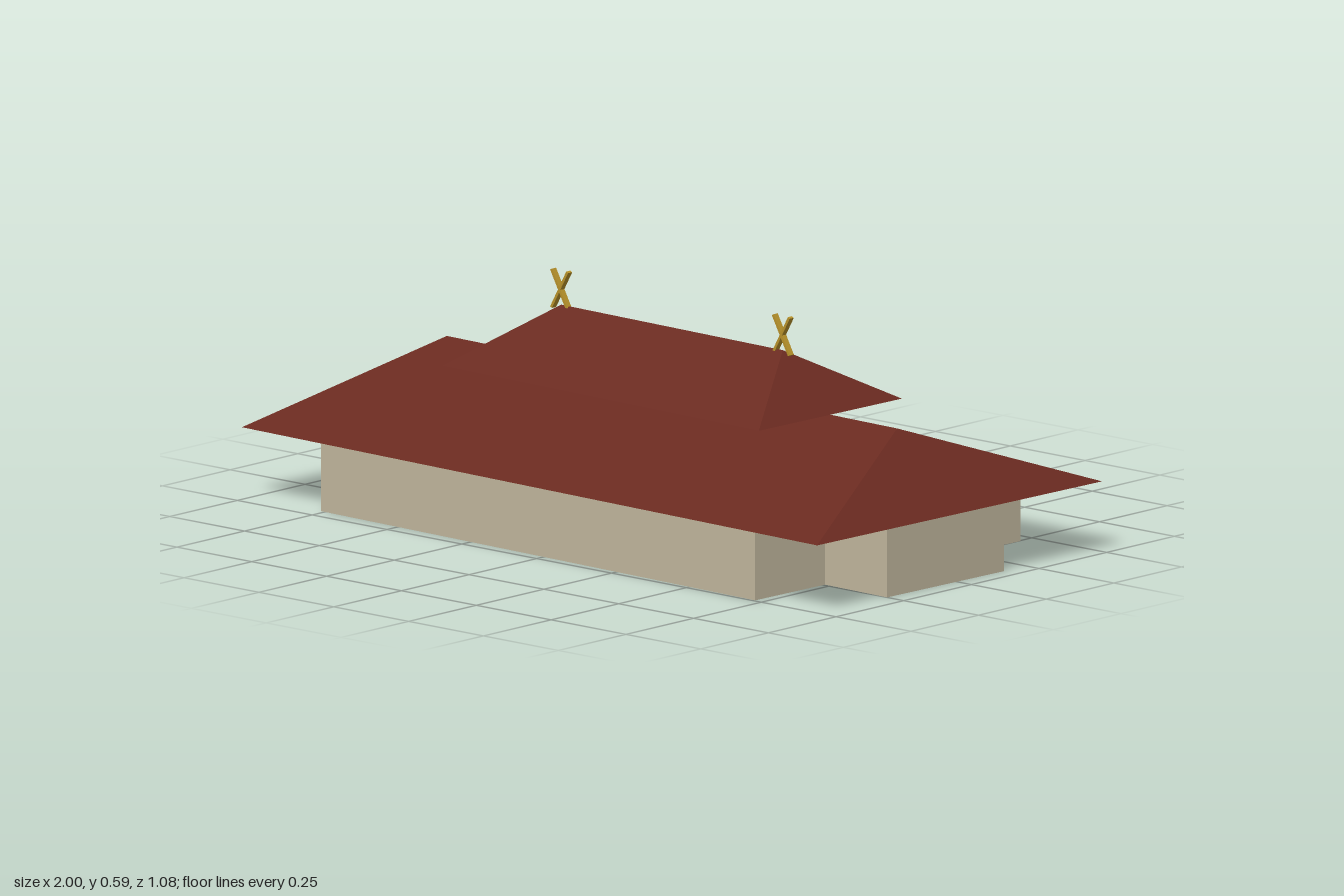
import * as THREE from 'three';

const roofMat = new THREE.MeshStandardMaterial({ name: 'roof red', color: 0x6a2a20, side: THREE.DoubleSide });
const wallMat = new THREE.MeshStandardMaterial({ name: 'wall beige', color: 0xc0b69c, side: THREE.DoubleSide });
const goldMat = new THREE.MeshStandardMaterial({ name: 'finial gold', color: 0xb8922a });

const EAVE = 0.183; // wall top and lower eave height

// Flat-shaded surface from polygons of [x, y, z] corners, counter-clockwise from outside
function surface(name, faces, material) {
  const pos = [];
  for (const f of faces) {
    for (let i = 1; i < f.length - 1; i++) pos.push(...f[0], ...f[i], ...f[i + 1]);
  }
  const geo = new THREE.BufferGeometry();
  geo.setAttribute('position', new THREE.Float32BufferAttribute(pos, 3));
  geo.computeVertexNormals();
  const mesh = new THREE.Mesh(geo, material);
  mesh.name = name;
  return mesh;
}

// Open hipped shell: half length, half depth, half ridge, eave and ridge heights
function hipRoof(name, hx, hz, ridge, y0, y1) {
  const fl = [-hx, y0, hz], fr = [hx, y0, hz], br = [hx, y0, -hz], bl = [-hx, y0, -hz];
  const rl = [-ridge, y1, 0], rr = [ridge, y1, 0];
  return surface(name, [[fl, fr, rr, rl], [br, bl, rl, rr], [fr, br, rr], [bl, fl, rl]], roofMat);
}

// Thin walls following a closed [x, z] plan
function walls(plan) {
  const faces = plan.map(([x, z], i) => {
    const [x2, z2] = plan[(i + 1) % plan.length];
    return [[x, 0, z], [x2, 0, z2], [x2, EAVE, z2], [x, EAVE, z]];
  });
  return surface('walls', faces, wallMat);
}

// Flat ceiling closing the top of the rooms
function ceiling(plan) {
  const shape = new THREE.Shape(plan.map(([x, z]) => new THREE.Vector2(x, z)));
  const mesh = new THREE.Mesh(new THREE.ShapeGeometry(shape).rotateX(Math.PI / 2), roofMat);
  mesh.name = 'ceiling';
  mesh.position.y = EAVE - 0.001;
  return mesh;
}

// Crossed bars standing on a ridge end
function crossedFinial(x) {
  const group = new THREE.Group();
  group.name = 'crossedFinial';
  for (const s of [-1, 1]) {
    const bar = new THREE.Mesh(new THREE.BoxGeometry(0.007, 0.111, 0.015), goldMat);
    bar.name = 'finialBar';
    bar.rotation.z = s * 0.52;
    group.add(bar);
  }
  group.position.set(x, 0.544, 0);
  return group;
}

export function createModel() {
  const model = new THREE.Group();
  model.name = 'hall';
  const building = new THREE.Group();
  building.name = 'building';
  // The hall stands slightly turned on its plot
  building.rotation.y = -0.028;
  model.add(building);

  // Main hall with a shallow wing at each end
  const d = 0.474, w = 0.951;
  const plan = [
    [-0.75, d], [0.738, d], [0.738, 0.223], [w, 0.223], [w, -0.196], [0.741, -0.196],
    [0.741, -d], [-0.729, -d], [-0.729, -0.19], [-w, -0.19], [-w, 0.208], [-0.75, 0.208],
  ];
  building.add(walls(plan), ceiling(plan));

  // Short gilt strip at the top of the inner front wall
  const strip = new THREE.Mesh(new THREE.BoxGeometry(0.19, 0.009, 0.004), goldMat);
  strip.name = 'innerStrip';
  strip.position.set(0.455, EAVE - 0.007, d - 0.003);
  building.add(strip);

  building.add(hipRoof('lowerRoof', 0.986, 0.511, 0.772, EAVE, 0.366));
  building.add(hipRoof('upperRoof', 0.543, 0.2565, 0.38, 0.366, 0.505));

  for (const s of [-1, 1]) building.add(crossedFinial(s * 0.38));
  return model;
}
